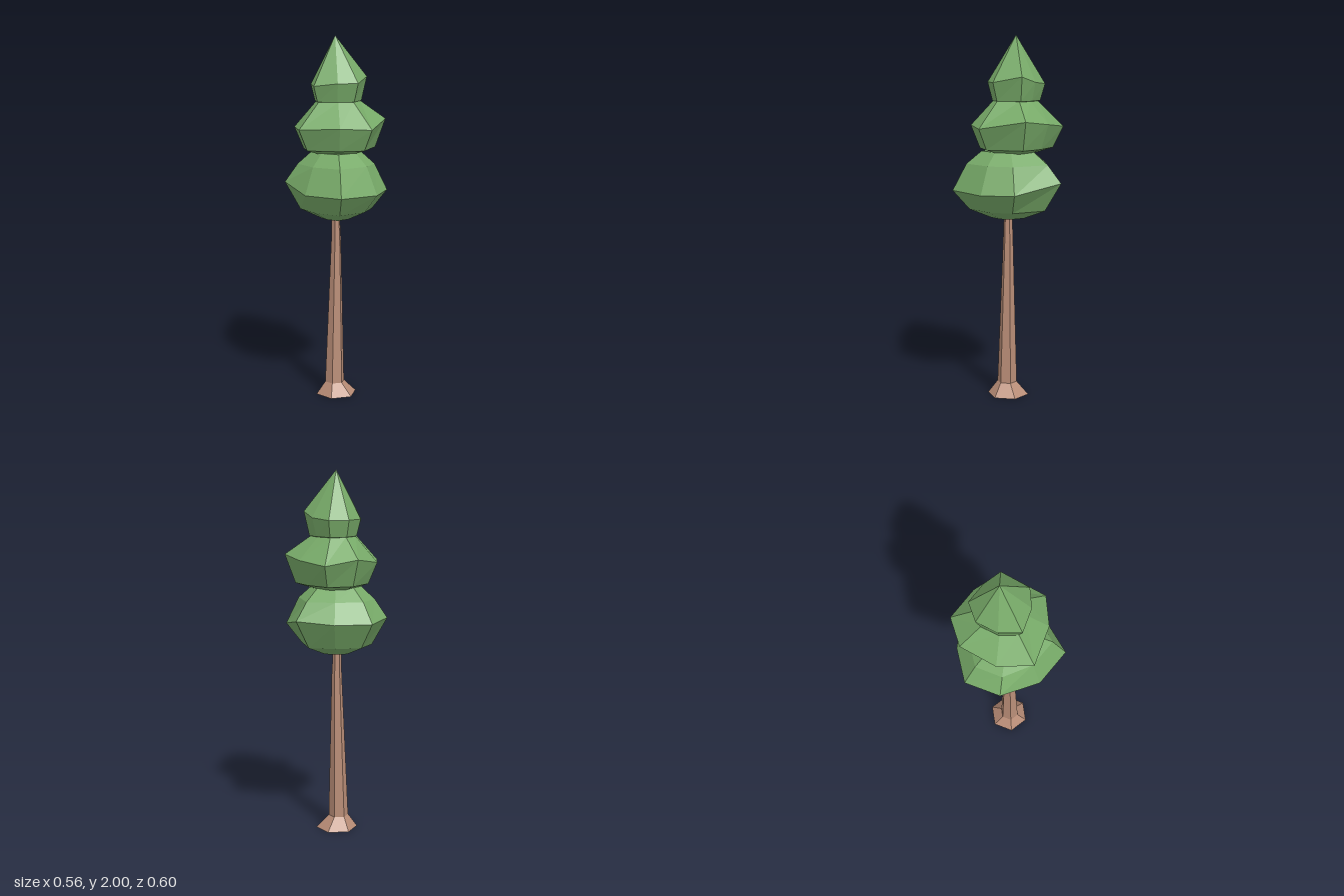
import * as THREE from 'three';

const leaf = new THREE.MeshStandardMaterial({ color: 0x78ab69, flatShading: true });
leaf.name = 'leaf green';
const bark = new THREE.MeshStandardMaterial({ color: 0xb98d77, flatShading: true });
bark.name = 'bark brown';

// Skin a stack of equal-length rings (bottom to top) and close both ends
function loft(name, rings, material) {
  const pos = [];
  const tri = (a, b, c) => pos.push(...a, ...b, ...c);
  const n = rings[0].length;
  const middle = (ring) => [0, 1, 2].map((k) => ring.reduce((s, p) => s + p[k], 0) / n);
  const first = rings[0], last = rings[rings.length - 1];
  const bottom = middle(first), top = middle(last);
  for (let i = 0; i < n; i++) {
    const j = (i + 1) % n;
    for (let r = 0; r < rings.length - 1; r++) {
      const lo = rings[r], hi = rings[r + 1];
      tri(lo[i], lo[j], hi[j]);
      tri(lo[i], hi[j], hi[i]);
    }
    tri(bottom, first[j], first[i]);
    tri(top, last[i], last[j]);
  }
  const geometry = new THREE.BufferGeometry();
  geometry.setAttribute('position', new THREE.Float32BufferAttribute(pos, 3));
  geometry.computeVertexNormals();
  const mesh = new THREE.Mesh(geometry, material);
  mesh.name = name;
  return mesh;
}

// Ring shrunk from a tier's widest outline towards its centre, at a fixed height
const shrink = (outline, [cx, cz], scale, y) =>
  outline.map(([x, , z]) => [cx + (x - cx) * scale, y, cz + (z - cz) * scale]);

// Foliage tier: scaled rings below and above an irregular widest outline
function tier(name, outline, centre, below, above) {
  const make = ([scale, y]) => shrink(outline, centre, scale, y);
  return loft(name, [...below.map(make), outline, ...above.map(make)], leaf);
}

// Six-sided trunk ring
function trunkRing([y, r, cx, cz]) {
  return Array.from({ length: 6 }, (_, i) => {
    const a = -0.14 + (i * Math.PI) / 3;
    return [cx + r * Math.sin(a), y, cz + r * Math.cos(a)];
  });
}

export function createModel() {
  const tree = new THREE.Group();
  tree.name = 'tree';

  // Tapered trunk with flared foot
  tree.add(loft('trunk', [
    [0, 0.115, 0, 0], [0.07, 0.055, -0.008, 0.006],
    [0.88, 0.028, 0, 0], [1.06, 0.022, -0.003, 0],
  ].map(trunkRing), bark));

  // Foliage outlines run anticlockwise seen from above, starting at the front
  tree.add(tier('lowerFoliage', [
    [0.057, 1.165, 0.3], [0.233, 1.16, 0.135], [0.277, 1.165, -0.045], [0.135, 1.215, -0.29],
    [-0.07, 1.2, -0.27], [-0.25, 1.2, -0.18], [-0.28, 1.21, 0.02], [-0.145, 1.165, 0.205],
  ], [0, 0], [[0.3, 1.01], [0.7, 1.06]], [[0.75, 1.31], [0.48, 1.378]]));

  tree.add(tier('middleFoliage', [
    [0.04, 1.52, 0.2], [0.205, 1.51, 0.145], [0.262, 1.55, -0.103], [0.14, 1.53, -0.22],
    [-0.027, 1.51, -0.3], [-0.18, 1.54, -0.21], [-0.23, 1.51, -0.01], [-0.18, 1.51, 0.175],
  ], [0, -0.03], [[0.48, 1.37], [0.79, 1.395]], [[0.48, 1.65]]));

  tree.add(tier('topFoliage', [
    [0.02, 1.75, 0.11], [0.125, 1.75, 0.075], [0.16, 1.78, -0.08], [0.09, 1.75, -0.15],
    [-0.017, 1.74, -0.2], [-0.11, 1.74, -0.14], [-0.14, 1.74, -0.02], [-0.11, 1.735, 0.095],
  ], [-0.01, -0.042], [[0.6, 1.64], [0.83, 1.65]], [[0.001, 2]]));

  return tree;
}
